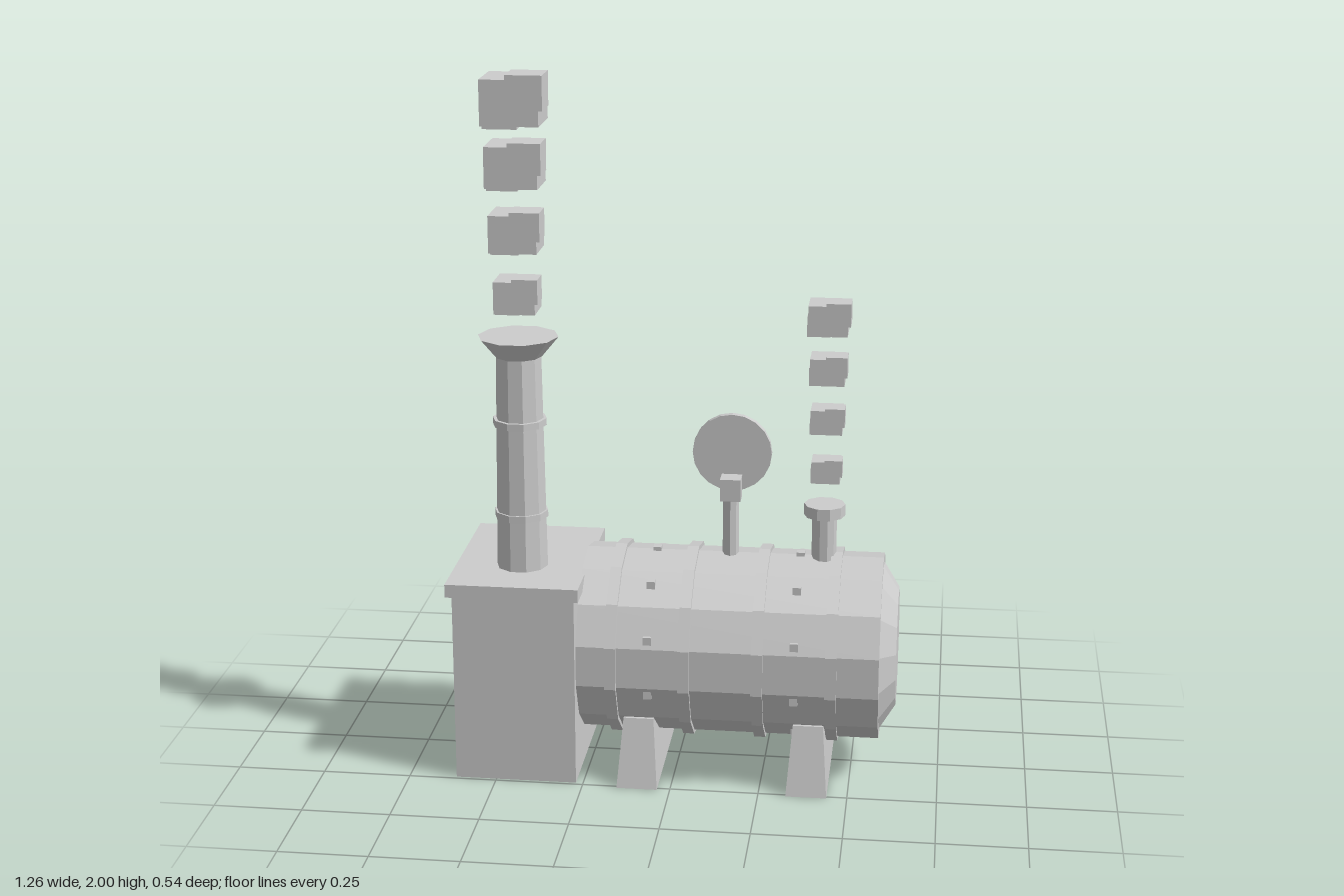
import * as THREE from 'three';

export function createModel() {
  const model = new THREE.Group();
  const grey = new THREE.MeshStandardMaterial({ color: 0xcccccc, flatShading: true });
  grey.name = 'light grey';

  function part(name, geometry, x, y, z, parent = model) {
    const mesh = new THREE.Mesh(geometry, grey);
    mesh.name = name;
    mesh.position.set(x, y, z);
    parent.add(mesh);
    return mesh;
  }
  function group(name, x = 0, y = 0, z = 0, parent = model) {
    const g = new THREE.Group();
    g.name = name;
    g.position.set(x, y, z);
    parent.add(g);
    return g;
  }
  const box = (w, h, d) => new THREE.BoxGeometry(w, h, d);
  // upright prism with a corner on the x axis
  const prism = (rTop, rBottom, h, sides) =>
    new THREE.CylinderGeometry(rTop, rBottom, h, sides, 1, false, Math.PI / 2);
  // prism lying along x, its first radius at the +x end
  const barrel = (rEnd, rStart, length) => prism(rEnd, rStart, length, 14).rotateZ(-Math.PI / 2);

  // Firebox with overhanging lid
  part('firebox', box(0.345, 0.555, 0.48), -0.443, 0.2775, 0);
  part('fireboxLid', box(0.375, 0.038, 0.52), -0.443, 0.574, 0);

  // Barred grate on the back of the firebox
  const grate = group('grate', -0.443, 0.22, -0.24);
  part('gratePlate', box(0.22, 0.18, 0.016), 0, 0, 0, grate);
  part('grateTopBar', box(0.252, 0.025, 0.046), 0, 0.1, 0, grate);
  for (let i = 0; i < 4; i++) {
    part('grateBar', box(0.024, 0.18, 0.038), -0.09 + i * 0.06, 0, 0, grate);
  }

  // Boiler drum and tapered end cap
  const axisY = 0.365;
  part('boiler', barrel(0.265, 0.265, 0.844), 0.158, axisY, 0);
  part('boilerCap', barrel(0.168, 0.24, 0.046), 0.602, axisY, 0);

  // Straps around the boiler
  for (const x of [-0.167, 0.039, 0.243, 0.448]) {
    part('boilerStrap', barrel(0.277, 0.277, 0.032), x, axisY, 0);
  }

  // Two rings of ten bolts
  for (const x of [-0.064, 0.345]) {
    for (let i = 0; i < 10; i++) {
      const a = (i * Math.PI) / 5;
      part('bolt', box(0.023, 0.023, 0.023), x, axisY + 0.262 * Math.cos(a), 0.254 * Math.sin(a));
    }
  }

  // Saddle legs, narrowing upwards
  function saddleGeometry() {
    const g = box(0.115, 0.195, 0.52);
    const p = g.attributes.position;
    for (let i = 0; i < p.count; i++) {
      if (p.getY(i) > 0) {
        p.setX(i, p.getX(i) * 0.74);
        p.setZ(i, p.getZ(i) * 0.81);
      }
    }
    return g;
  }
  for (const x of [-0.094, 0.385]) part('saddleLeg', saddleGeometry(), x, 0.0975, 0);

  // Chimney
  const chimney = group('chimney', -0.443, 0, 0.07);
  part('chimneyStack', prism(0.064, 0.073, 0.625, 10), 0, 0.8975, 0, chimney);
  for (const y of [0.75, 1.02]) part('chimneyRing', prism(0.076, 0.076, 0.02, 10), 0, y, 0, chimney);
  part('chimneyFlare', prism(0.113, 0.066, 0.057, 10), 0, 1.237, 0, chimney);

  // Steam valve
  const valve = group('steamValve', 0.41, 0, 0);
  part('valvePipe', prism(0.035, 0.035, 0.16, 10), 0, 0.68, 0, valve);
  part('valveCap', prism(0.058, 0.058, 0.033, 10), 0, 0.768, 0, valve);

  // Pressure gauge, its dial facing the back
  const gauge = group('gauge', 0.145, 0, 0);
  part('gaugePost', prism(0.023, 0.023, 0.2, 8), 0, 0.71, 0, gauge);
  part('gaugeBlock', box(0.058, 0.064, 0.056), 0, 0.822, 0.003, gauge);
  const dial = group('dial', 0, 0.917, 0, gauge);
  const disc = (r, depth) => prism(r, r, depth, 20).rotateX(Math.PI / 2);
  part('dialBack', disc(0.112, 0.02), 0, 0, -0.034, dial);
  part('dialFace', disc(0.092, 0.014), 0, 0, -0.051, dial);
  for (let i = 0; i < 7; i++) {
    const a = ((i - 3) * Math.PI) / 4.5;
    const tick = part('dialTick', box(0.009, 0.022, 0.006),
      0.07 * Math.sin(a), 0.07 * Math.cos(a), -0.06, dial);
    tick.rotation.z = -a;
  }
  part('needle', box(0.01, 0.06, 0.008), 0, 0.025, -0.062, dial);
  part('needleHub', disc(0.014, 0.012), 0, 0, -0.063, dial);

  // Smoke puffs: a main block with two smaller ones on opposite corners
  function puff(name, x, y, z, s) {
    const g = group(name, x, y, z);
    g.scale.setScalar(s);
    part('puffCore', box(0.16, 0.125, 0.15), 0, 0, 0, g);
    part('puffUpper', box(0.1, 0.095, 0.1), 0.043, 0.03, 0.038, g);
    part('puffLower', box(0.095, 0.085, 0.09), -0.04, -0.04, -0.04, g);
  }
  [[1.383, 0.72], [1.562, 0.83], [1.746, 0.91], [1.9225, 1]]
    .forEach(([y, s]) => puff('chimneySmoke', -0.443, y, 0.07, s));
  [[0.886, 0.5], [1.033, 0.55], [1.178, 0.6], [1.325, 0.68]]
    .forEach(([y, s]) => puff('valveSteam', 0.412, y, 0, s));

  return model;
}
